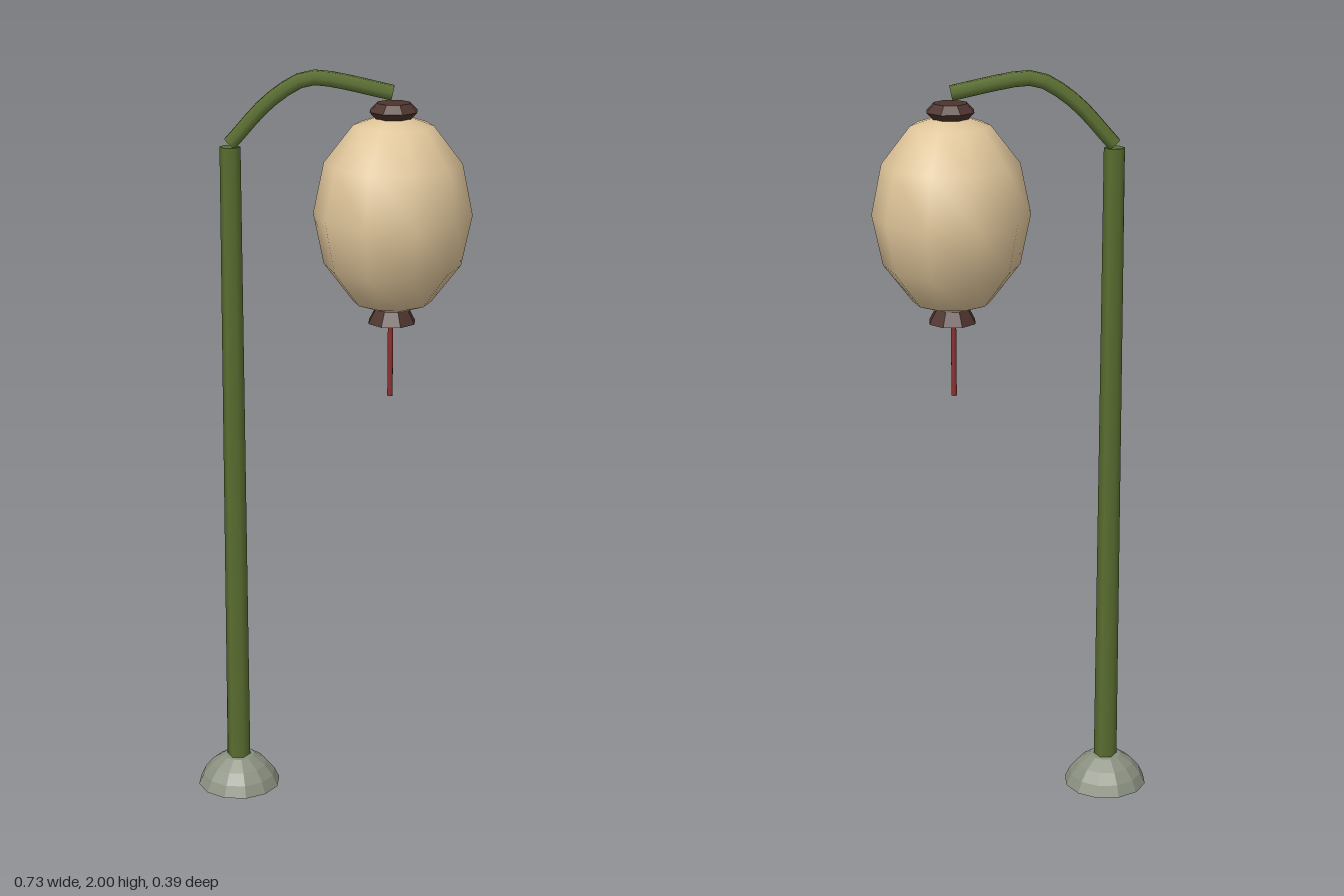
import * as THREE from 'three';

const POST_X = -0.257, LAMP_X = 0.16;

const material = (name, color, extra = {}) =>
  Object.assign(new THREE.MeshStandardMaterial({ color, ...extra }), { name });

// Faceted lathe whose sides face the x and z axes
function turned(points, sides) {
  return new THREE.LatheGeometry(points.map(([r, y]) => new THREE.Vector2(r, y)), sides, Math.PI / sides);
}

export function createModel() {
  const group = new THREE.Group();
  const green = material('bambooGreen', 0x5a6e30);
  const paper = material('paperCream', 0xdfc59a);
  const wood = material('darkWood', 0x4e342e, { flatShading: true });
  const stone = material('stoneGrey', 0x8a9080, { flatShading: true, side: THREE.DoubleSide });
  const red = material('tasselRed', 0x8f3030);

  const add = (name, geometry, mat, x = 0, y = 0) => {
    const mesh = new THREE.Mesh(geometry, mat);
    mesh.name = name;
    mesh.position.set(x, y, 0);
    group.add(mesh);
    return mesh;
  };

  // Hollow stone foot
  add('base', turned([[0.114, 0], [0.1, 0.03], [0.077, 0.058], [0.042, 0.083], [0, 0.086]], 12), stone, POST_X);

  // Six-sided tapering post
  const post = new THREE.CylinderGeometry(0.027, 0.032, 1.8, 6);
  post.rotateY(Math.PI / 6);
  add('post', post, green, POST_X, 0.9);

  // Bent arm with closed ends
  const path = [[-0.257, 1.808], [-0.156, 1.918], [-0.074, 1.972], [-0.034, 1.979], [0.024, 1.971], [0.158, 1.942]]
    .map(([x, y]) => new THREE.Vector3(x, y, 0));
  const curve = new THREE.CatmullRomCurve3(path);
  add('arm', new THREE.TubeGeometry(curve, 12, 0.021, 6), green);
  [[0, -1], [1, 1]].forEach(([t, dir]) => {
    const cap = add('armEnd', new THREE.CircleGeometry(0.021, 6), green);
    cap.position.copy(path[t * (path.length - 1)]);
    cap.quaternion.setFromUnitVectors(new THREE.Vector3(0, 0, 1), curve.getTangent(t).multiplyScalar(dir));
  });

  // Paper lantern
  const lantern = new THREE.SphereGeometry(0.205, 10, 6);
  lantern.scale(1, 0.265 / 0.205, 1);
  add('lantern', lantern, paper, LAMP_X, 1.63);

  // Wooden collars above and below the paper
  add('topCollar', turned([[0, 1.877], [0.047, 1.877], [0.065, 1.896], [0.044, 1.917], [0, 1.917]], 8), wood, LAMP_X);
  add('bottomCollar', turned([[0, 1.36], [0.045, 1.36], [0.063, 1.343], [0.065, 1.35], [0.044, 1.383], [0, 1.383]].slice(0, 2)
    .concat([[0.065, 1.344], [0.044, 1.383], [0, 1.383]]), 8), wood, LAMP_X);

  // Hanging tassel
  add('tassel', new THREE.CylinderGeometry(0.008, 0.008, 0.24, 6), red, 0.157, 1.263);

  return group;
}
